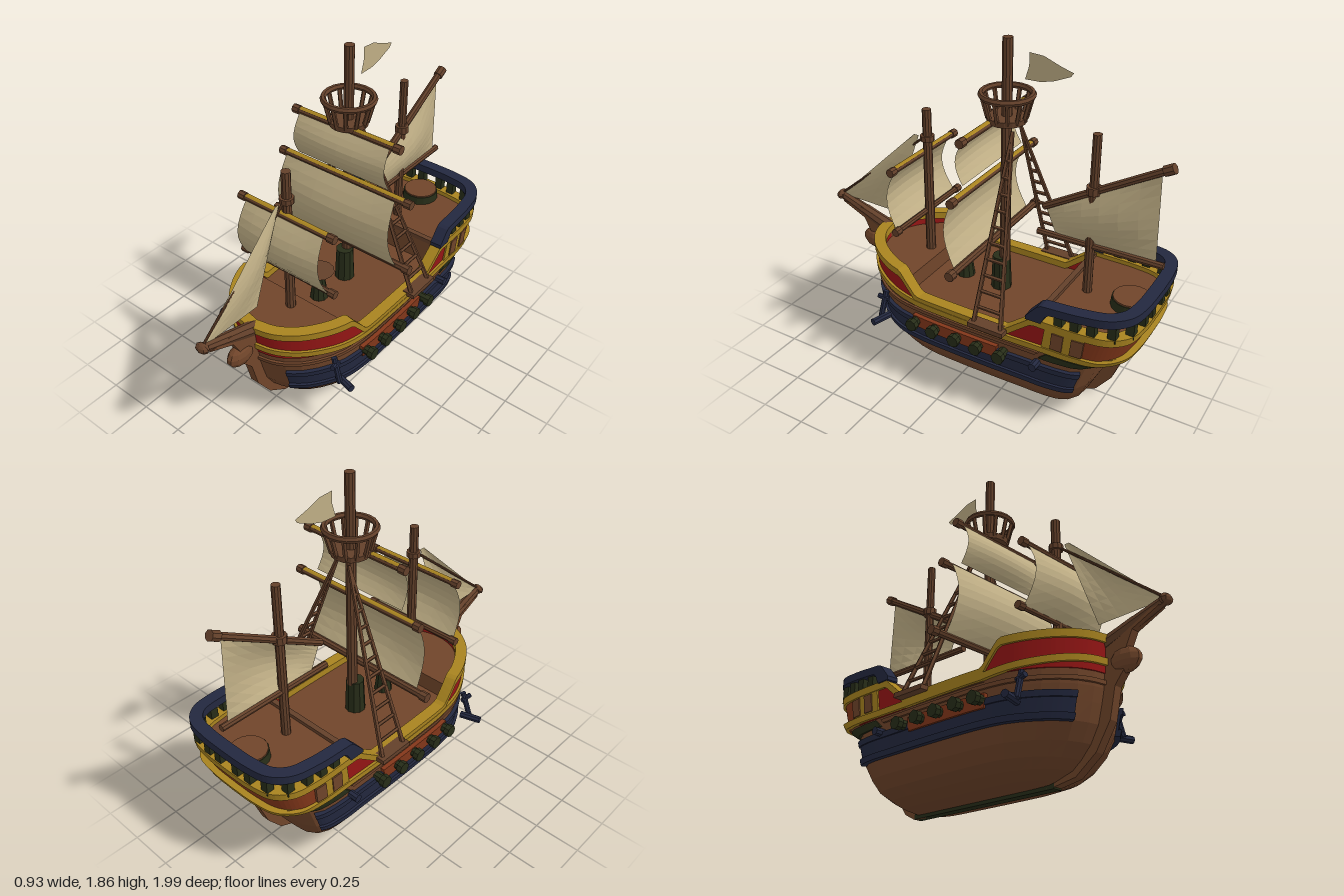
import * as THREE from 'three';

const mat = (name, color, side = THREE.FrontSide) => Object.assign(new THREE.MeshStandardMaterial({ color, side }), { name });
const wood = mat('hull wood', 0x70452a), spar = mat('dark wood', 0x63402a), cloth = mat('sailcloth', 0xbfae85, THREE.DoubleSide);
const navy = mat('navy', 0x23283f), gold = mat('gold', 0xa8831f), red = mat('red', 0x961615);
const green = mat('dark green', 0x272d18), rust = mat('rust', 0x83371a);

// Piecewise linear table [[key, value], ...] with ascending keys
const table = rows => k => {
  if (k <= rows[0][0]) return rows[0][1];
  for (let i = 1; i < rows.length; i++) {
    const [a, va] = rows[i - 1], [b, vb] = rows[i];
    if (k <= b) return va + (vb - va) * (k - a) / (b - a);
  }
  return rows[rows.length - 1][1];
};

// Hull plan (one side, bow to stern) and how it changes with height
const plan = new THREE.CatmullRomCurve3([[0, 0.65], [0.12, 0.62], [0.22, 0.55], [0.3, 0.44], [0.345, 0.33], [0.365, 0.18], [0.37, 0],
  [0.37, -0.3], [0.365, -0.55], [0.36, -0.75], [0.335, -0.88], [0.27, -0.95], [0.15, -0.975], [0, -0.98]]
  .map(([x, z]) => new THREE.Vector3(x, 0, z))).getSpacedPoints(100);
const normals = plan.map((p, i) => {
  if (i === 0) return [0, 1];
  if (i === 100) return [0, -1];
  const t = plan[i + 1].clone().sub(plan[i - 1]).normalize();
  return [-t.z, t.x];
});
const width = table([[0.015, 0], [0.03, 0.42], [0.06, 0.63], [0.1, 0.78], [0.16, 0.89], [0.24, 0.96], [0.4, 0.98], [0.6, 1]]);
const bow = table([[0.015, 0.3], [0.06, 0.44], [0.13, 0.53], [0.25, 0.6], [0.4, 0.635], [0.65, 0.655]]);
const stern = table([[0.015, 0.6], [0.1, 0.69], [0.25, 0.76], [0.4, 0.81], [0.44, 0.88], [0.48, 0.945], [0.65, 0.97]]);
const hullPoint = (i, y, off, s) => {
  const p = plan[i], n = normals[i];
  const z = p.z > 0 ? p.z * bow(y) / 0.65 : p.z * stern(y) / 0.98;
  return [s * Math.max(0, p.x * width(y) + n[0] * off), y, z + n[1] * off];
};

// Skin a list of cross-sections; s = -1 flips the winding for the mirrored side
function loft(sections, s, closed) {
  const n = sections[0].length, idx = [];
  const tri = (a, b, c) => s > 0 ? idx.push(a, b, c) : idx.push(a, c, b);
  for (let i = 0; i < sections.length - 1; i++)
    for (let j = 0; j < (closed ? n : n - 1); j++) {
      const k = (j + 1) % n, a = i * n + j, b = i * n + k, c = a + n, d = b + n;
      tri(a, c, b); tri(b, c, d);
    }
  if (closed) {
    const e = (sections.length - 1) * n;
    tri(0, 1, 2); tri(0, 2, 3); tri(e, e + 2, e + 1); tri(e, e + 3, e + 2);
  }
  const g = new THREE.BufferGeometry();
  g.setAttribute('position', new THREE.Float32BufferAttribute(sections.flat(2), 3));
  g.setIndex(idx);
  return g;
}

export function createModel() {
  const ship = new THREE.Group();
  ship.name = 'sailingShip';
  const add = (name, geo, material, x = 0, y = 0, z = 0) => {
    const g = geo.index ? geo.toNonIndexed() : geo;
    g.computeVertexNormals();
    const m = new THREE.Mesh(g, material);
    m.name = name;
    m.position.set(x, y, z);
    ship.add(m);
    return m;
  };
  const box = (name, m, w, h, d, x, y, z) => add(name, new THREE.BoxGeometry(w, h, d), m, x, y, z);
  const cyl = (name, m, r1, r2, h, x, y, z, n = 10) => add(name, new THREE.CylinderGeometry(r1, r2, h, n), m, x, y, z);
  const rod = (name, m, a, b, r, r2 = r, n = 8) => {
    const A = new THREE.Vector3(...a), B = new THREE.Vector3(...b), d = B.clone().sub(A);
    const mesh = add(name, new THREE.CylinderGeometry(r2, r, d.length(), n), m);
    mesh.position.copy(A).add(B).multiplyScalar(0.5);
    mesh.quaternion.setFromUnitVectors(new THREE.Vector3(0, 1, 0), d.normalize());
    return mesh;
  };
  const both = f => [1, -1].forEach(f);
  const val = (f, z) => typeof f === 'number' ? f : f(z);
  // A plank that follows the hull between heights lo and hi, from z0 to z1
  const band = (name, m, lo, hi, z0, z1, out, inn) => both(s => {
    const ids = plan.map((p, i) => i).filter(i => plan[i].z >= z0 && plan[i].z <= z1);
    add(name, loft(ids.map(i => {
      const l = val(lo, plan[i].z), h = val(hi, plan[i].z);
      return [hullPoint(i, l, out, s), hullPoint(i, h, out, s), hullPoint(i, h, inn, s), hullPoint(i, l, inn, s)];
    }), s, true), m);
  });
  const profile = (name, m, pts, depth) => {
    const g = new THREE.ExtrudeGeometry(new THREE.Shape(pts.map(p => new THREE.Vector2(...p))), { depth, bevelEnabled: false });
    return add(name, g.translate(0, 0, -depth / 2).rotateY(-Math.PI / 2), m);
  };

  // Hull skin
  const rows = [0.015, 0.03, 0.06, 0.1, 0.16, 0.24, 0.33, 0.4, 0.44, 0.48, 0.5];
  both(s => add('hull', loft(plan.filter((p, i) => i % 4 === 0).map((p, i) => rows.map(y => hullPoint(i * 4, y, 0, s))), s, false), wood));

  // Painted belts and raised planks
  band('navyBelt', navy, 0.24, 0.36, -0.9, 0.6, 0.012, -0.02);
  band('lowerWale', navy, 0.235, 0.265, -0.9, 0.6, 0.026, -0.02);
  band('upperWale', navy, 0.335, 0.365, -0.9, 0.6, 0.02, -0.02);
  band('gunPortBelt', rust, 0.32, 0.39, -0.36, 0.23, 0.024, -0.02);
  band('woodWale', wood, 0.415, 0.435, -0.6, 0.66, 0.012, -0.02);
  band('sternCounter', green, 0.4, 0.44, -1, -0.62, 0.01, -0.02);

  // Bulwarks, mouldings and cap rails
  const top = table([[-0.98, 0.62], [-0.49, 0.62], [-0.34, 0.495], [0.2, 0.495], [0.3, 0.62], [0.66, 0.635]]);
  const strip = table([[-0.98, 0.475], [-0.85, 0.455], [-0.33, 0.45], [0.2, 0.455], [0.65, 0.505]]);
  band('foreBulwark', red, 0.47, top, 0.2, 1, 0.006, -0.03);
  band('midBulwark', wood, 0.45, top, -0.36, 0.22, 0.004, -0.03);
  band('aftBulwark', red, 0.45, top, -0.79, -0.34, 0.006, -0.03);
  band('sternBulwark', rust, 0.46, top, -1, -0.77, 0.006, -0.03);
  band('lowerMoulding', gold, strip, z => strip(z) + 0.033, -1, 1, 0.02, -0.02);
  band('capRail', gold, z => top(z) - 0.022, z => top(z) + 0.018, -1, 1, 0.018, -0.045);
  band('windowFrame', gold, 0.47, 0.61, -0.78, -0.55, 0.014, -0.01);
  [-0.74, -0.635].forEach(z => band('windowPane', wood, 0.495, 0.59, z - 0.037, z + 0.037, 0.02, -0.01));

  // Quarterdeck railing
  band('sternRail', navy, table([[-0.98, 0.715], [-0.57, 0.69], [-0.55, 0.63], [-0.46, 0.63]]),
    table([[-0.98, 0.76], [-0.53, 0.73], [-0.46, 0.65]]), -1, -0.46, 0.025, -0.04);
  both(s => [66, 70, 74, 78, 83, 88, 93, 97].forEach(i => {
    if (plan[i].z > -0.58) return;
    const [x, , z] = hullPoint(i, 0.67, -0.01, s);
    box('railPost', green, 0.042, 0.11, 0.042, x, 0.675, z);
  }));

  // Decks and bulkheads
  const deck = (name, y, z0, z1) => {
    const half = plan.filter(p => p.z >= z0 && p.z <= z1).map(p => [p.x * 0.965, -p.z * 0.975]);
    const pts = [...half, ...half.slice().reverse().map(([x, z]) => [-x, z])];
    add(name, new THREE.ShapeGeometry(new THREE.Shape(pts.map(p => new THREE.Vector2(...p)))).rotateX(-Math.PI / 2), wood, 0, y, 0);
  };
  deck('foreDeck', 0.57, 0.29, 1);
  deck('mainDeck', 0.475, -0.56, 0.36);
  deck('quarterDeck', 0.615, -1, -0.49);
  box('foreBulkhead', wood, 0.66, 0.1, 0.02, 0, 0.52, 0.29);
  box('aftBulkhead', wood, 0.7, 0.15, 0.02, 0, 0.545, -0.49);
  box('aftBeam', spar, 0.72, 0.025, 0.03, 0, 0.622, -0.49);

  // Keel, stem, figurehead and rudder
  box('keel', green, 0.05, 0.035, 0.95, 0, 0.0175, -0.15);
  profile('stem', wood, [[0.28, 0], [0.45, 0.03], [0.57, 0.12], [0.655, 0.25], [0.69, 0.4], [0.74, 0.46], [0.76, 0.56], [0.8, 0.64],
    [0.95, 0.71], [0.8, 0.7], [0.62, 0.64], [0.58, 0.3], [0.48, 0.13], [0.28, 0.04]], 0.05);
  add('figurehead', new THREE.SphereGeometry(1, 10, 7).scale(0.045, 0.062, 0.085), wood, 0, 0.515, 0.74);
  rod('bowsprit', spar, [0, 0.615, 0.63], [0, 0.738, 0.975], 0.04, 0.024);
  add('bowspritCap', new THREE.SphereGeometry(0.034, 8, 6).scale(1.2, 0.8, 0.8), spar, 0, 0.738, 0.972);
  profile('rudder', wood, [[-0.55, 0], [-0.63, 0], [-0.7, 0.035], [-0.78, 0.14], [-0.84, 0.3], [-0.92, 0.46], [-0.8, 0.46], [-0.7, 0.2], [-0.6, 0.06]], 0.05);

  // Cannons, anchors and shroud ledges
  both(s => {
    [0.2, 0.075, -0.06, -0.19, -0.325].forEach(z => {
      rod('cannon', green, [s * 0.33, 0.36, z], [s * 0.415, 0.36, z], 0.026);
      rod('cannonMuzzle', green, [s * 0.405, 0.36, z], [s * 0.435, 0.36, z], 0.034);
    });
    rod('sternCannon', navy, [s * 0.32, 0.365, -0.51], [s * 0.41, 0.365, -0.51], 0.022);
    rod('anchorShank', navy, [s * 0.34, 0.45, 0.42], [s * 0.385, 0.31, 0.43], 0.016);
    rod('anchorArm', navy, [s * 0.35, 0.31, 0.4], [s * 0.46, 0.312, 0.43], 0.02);
    rod('anchorStock', navy, [s * 0.35, 0.41, 0.4], [s * 0.36, 0.42, 0.46], 0.014);
    box('shroudLedge', spar, 0.07, 0.025, 0.2, s * 0.395, 0.505, -0.25);
  });

  // Masts and deck fittings
  [['foreMast', 0.355, 0.56, 1.4, 0.027], ['mainMast', -0.12, 0.47, 1.86, 0.029], ['mizzenMast', -0.6, 0.6, 1.48, 0.025]]
    .forEach(([name, z, y0, y1, r]) => rod(name, spar, [0, y0, z], [0, y1, z], r, r * 0.9, 10));
  cyl('mainMastBase', green, 0.048, 0.056, 0.2, 0, 0.565, -0.1);
  cyl('foreMastCollar', spar, 0.038, 0.038, 0.03, 0, 1.24, 0.355);
  cyl('mizzenMastCollar', spar, 0.038, 0.038, 0.04, 0, 1.19, -0.6);
  cyl('capstan', green, 0.03, 0.05, 0.15, 0, 0.55, 0.125);
  cyl('capstanTop', spar, 0.085, 0.04, 0.03, 0, 0.637, 0.125, 12);
  cyl('roundHatch', green, 0.1, 0.105, 0.05, 0, 0.635, -0.84, 16);
  cyl('hatchLid', wood, 0.095, 0.095, 0.01, 0, 0.663, -0.84, 16);

  // Yards, the raised ones gilded on top
  const yard = (name, x0, x1, y, z, r, gilt) => {
    rod(name, spar, [x0, y, z], [x1, y, z], r);
    [x0, x1].forEach(x => rod(name + 'Tip', spar, [x - 0.02, y, z], [x + 0.02, y, z], r + 0.006));
    if (gilt) add(name + 'Gilding', new THREE.CylinderGeometry(r + 0.003, r + 0.003, x1 - x0 - 0.05, 4, 1, true, Math.PI / 4, Math.PI / 2)
      .rotateZ(Math.PI / 2), gold, (x0 + x1) / 2, y, z);
  };
  yard('mainLowerYard', -0.44, 0.43, 0.763, -0.06, 0.02);
  yard('mainYard', -0.385, 0.415, 1.16, -0.065, 0.018, true);
  yard('topYard', -0.29, 0.335, 1.44, -0.07, 0.018, true);
  yard('foreYard', -0.27, 0.29, 1.155, 0.375, 0.017, true);
  yard('foreLowerYard', -0.285, 0.285, 0.81, 0.365, 0.016);
  rod('mizzenBoom', spar, [0, 0.88, -0.31], [0, 0.885, -0.98], 0.018);
  rod('mizzenGaff', spar, [0, 1.03, -0.34], [0, 1.395, -0.97], 0.02);
  rod('gaffTip', spar, [0, 1.375, -0.935], [0, 1.4, -0.98], 0.027);

  // Sails: a grid whose vertices follow a rule of u (across) and v (up)
  const sail = (name, rule) => {
    const g = new THREE.PlaneGeometry(1, 1, 6, 8), p = g.attributes.position;
    for (let i = 0; i < p.count; i++) p.setXYZ(i, ...rule(p.getX(i) + 0.5, p.getY(i) + 0.5));
    return add(name, g, cloth);
  };
  const squareSail = (name, x, wTop, wLow, y0, y1, z, belly) => sail(name, (u, v) => [x + (u - 0.5) * 2 * (wLow + (wTop - wLow) * v),
    y0 + (y1 - y0) * v, z + Math.sin(Math.PI * v) * belly * (0.75 + 0.25 * Math.sin(Math.PI * u))]);
  squareSail('mainSail', 0, 0.35, 0.375, 0.77, 1.16, -0.04, 0.085);
  squareSail('topSail', 0.015, 0.28, 0.29, 1.2, 1.43, -0.055, 0.06);
  squareSail('foreSail', 0, 0.245, 0.275, 0.81, 1.15, 0.38, 0.085);
  const quadSail = (name, [a, b, c, d], belly) => sail(name, (u, v) => {
    const mix = k => (a[k] * (1 - u) + b[k] * u) * (1 - v) + (d[k] * (1 - u) + c[k] * u) * v;
    return [belly * Math.sin(Math.PI * u) * Math.sin(Math.PI * v), mix(1), mix(0)];
  });
  quadSail('mizzenSail', [[-0.41, 0.89], [-0.94, 0.9], [-0.925, 1.37], [-0.35, 1.03]], 0.05);
  quadSail('jibSail', [[0.97, 0.74], [0.6, 0.73], [0.41, 1.24], [0.44, 1.24]], 0.03);
  rod('jibStay', spar, [0, 0.74, 0.98], [0, 1.25, 0.36], 0.007);

  // Pennant
  add('pennant', new THREE.ShapeGeometry(new THREE.Shape([[-0.235, 1.805], [-0.31, 1.8], [-0.4, 1.765], [-0.465, 1.745], [-0.45, 1.725],
    [-0.37, 1.69], [-0.3, 1.672], [-0.215, 1.67], [-0.235, 1.74]].map(p => new THREE.Vector2(...p)))).rotateY(-Math.PI / 2), cloth);

  // Crow's nest
  cyl('nestFloor', spar, 0.105, 0.1, 0.03, 0, 1.455, -0.12, 16);
  const ring = add('nestRim', new THREE.TorusGeometry(0.128, 0.015, 6, 20).rotateX(Math.PI / 2), spar, 0, 1.578, -0.12);
  ring.scale.y = 1.1;
  for (let i = 0; i < 12; i++) {
    const a = i * Math.PI / 6, c = Math.cos(a), s = Math.sin(a);
    rod('nestPost', spar, [0.095 * c, 1.455, 0.095 * s - 0.12], [0.126 * c, 1.575, 0.126 * s - 0.12], 0.012, 0.012, 5);
  }

  // Shroud ladders
  both(s => {
    const at = (z, t) => [s * (0.4 - 0.36 * t), 0.51 + 0.9 * t, z + (-0.175 - z) * t];
    [-0.17, -0.325].forEach(z => rod('shroud', spar, at(z, 0), at(z, 1), 0.013, 0.01, 5));
    for (let i = 1; i < 11; i++) rod('shroudRung', spar, at(-0.17, i * 0.085), at(-0.325, i * 0.085), 0.01, 0.01, 5);
  });

  return ship;
}
